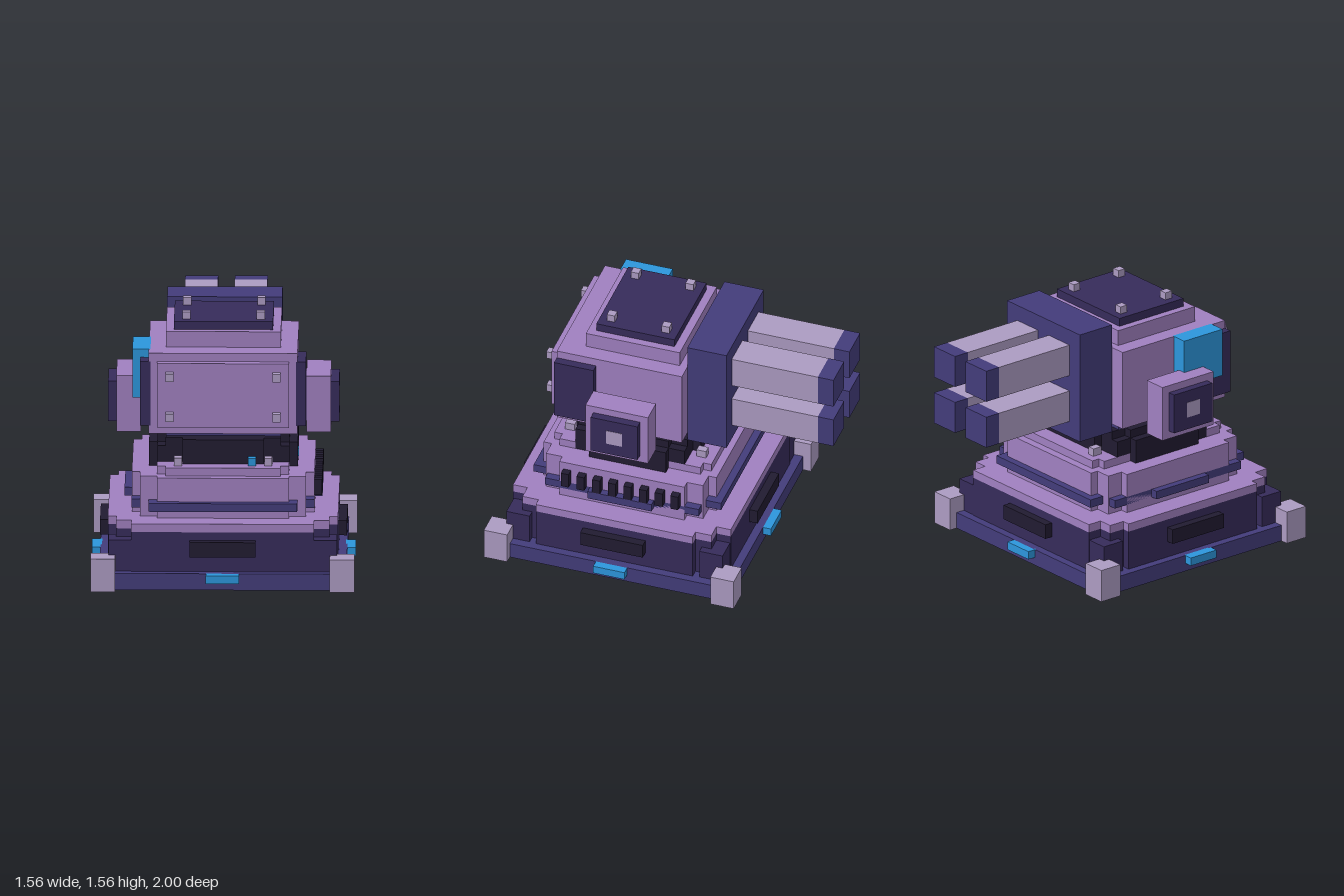
import * as THREE from 'three';

const mat = (color) => new THREE.MeshStandardMaterial({ color, flatShading: true });
const LILAC = mat(0xa080c0), PLUM = mat(0x362b5a), INDIGO = mat(0x433c7a);
const BLACK = mat(0x211b31), GREY = mat(0xac9bc2), BLUE = mat(0x2c96dc);

export function createModel() {
  const model = new THREE.Group();
  // Base and head are symmetric about the turret axis, which sits forward of the centre
  const turret = new THREE.Group();
  turret.name = 'turret';
  turret.position.z = 0.22;
  model.add(turret);

  // Box given by its limits along each axis
  const box = (name, m, [x0, x1], [y0, y1], [z0, z1]) => {
    const mesh = new THREE.Mesh(new THREE.BoxGeometry(Math.abs(x1 - x0), y1 - y0, Math.abs(z1 - z0)), m);
    mesh.position.set((x0 + x1) / 2, (y0 + y1) / 2, (z0 + z1) / 2);
    mesh.name = name;
    turret.add(mesh);
  };
  const sym = (v) => [-v, v];

  // Slab with stair-stepped corners; steps are [halfX, halfZ], widest X first
  const stepped = (name, m, y0, y1, steps) => {
    const q = [];
    steps.forEach(([x, z], i) => {
      if (i) q.push([x, steps[i - 1][1]]);
      q.push([x, z]);
    });
    const r = [...q].reverse();
    const outline = [
      ...q,
      ...r.map(([x, z]) => [-x, z]),
      ...q.map(([x, z]) => [-x, -z]),
      ...r.map(([x, z]) => [x, -z]),
    ].map(([x, z]) => new THREE.Vector2(x, z));
    const geo = new THREE.ExtrudeGeometry(new THREE.Shape(outline), { depth: y1 - y0, bevelEnabled: false });
    geo.rotateX(-Math.PI / 2);
    const mesh = new THREE.Mesh(geo, m);
    mesh.position.y = y0;
    mesh.name = name;
    turret.add(mesh);
  };

  // Base
  const plan = [[0.68, 0.49], [0.63, 0.59], [0.54, 0.68]];
  box('baseSlab', INDIGO, sym(0.73), [0, 0.1], sym(0.73));
  stepped('baseBody', PLUM, 0.1, 0.34, plan);
  stepped('baseRim', LILAC, 0.34, 0.39, plan);
  for (const sx of [-1, 1]) for (const sz of [-1, 1]) {
    box('cornerPost', GREY, [sx * 0.634, sx * 0.78], [0, 0.2], [sz * 0.634, sz * 0.78]);
    box('cornerFiller', PLUM, [sx * 0.53, sx * 0.675], [0.1, 0.29], [sz * 0.53, sz * 0.675]);
  }
  for (const s of [-1, 1]) {
    box('baseLight', BLUE, sym(0.098), [0.05, 0.1], [s * 0.72, s * 0.78]);
    box('baseLight', BLUE, [s * 0.72, s * 0.78], [0.05, 0.1], sym(0.098));
    box('basePanel', BLACK, sym(0.195), [0.2, 0.29], [s * 0.66, s * 0.73]);
    box('basePanel', BLACK, [s * 0.66, s * 0.73], [0.2, 0.29], sym(0.195));
  }

  // Middle tier with its trim band and cooling slots
  stepped('middleTier', LILAC, 0.39, 0.634, [[0.54, 0.39], [0.49, 0.49], [0.39, 0.54]]);
  stepped('trimBand', INDIGO, 0.44, 0.49, [[0.585, 0.2], [0.54, 0.48], [0.44, 0.585]]);
  for (let i = 0; i < 8; i++) {
    const z = (i - 3.5) * 0.0976;
    box('coolingSlot', BLACK, [0.52, 0.585], [0.49, 0.585], [z - 0.024, z + 0.024]);
  }
  stepped('upperTier', LILAC, 0.634, 0.683, [[0.39, 0.44], [0.34, 0.49]]);

  // Rotating ring and neck
  stepped('ringLower', BLACK, 0.634, 0.78, [[0.44, 0.24], [0.39, 0.34], [0.24, 0.39]]);
  stepped('ringUpper', BLACK, 0.78, 0.83, [[0.39, 0.24], [0.34, 0.34], [0.24, 0.39]]);
  box('neck', INDIGO, sym(0.34), [0.83, 0.88], sym(0.29));
  for (const s of [-1, 1]) for (const sz of [-1, 1])
    box('ringBolt', GREY, [s * 0.244, s * 0.29], [0.683, 0.73], [sz * 0.38, sz * 0.44]);
  box('ringLight', BLUE, [0.146, 0.195], [0.683, 0.73], [0.38, 0.44]);
  box('ringLight', BLUE, [0.39, 0.445], [0.683, 0.73], [0.146, 0.195]);

  // Head
  box('head', LILAC, sym(0.44), [0.88, 1.37], [-0.34, 0.44]);
  box('facePlate', LILAC, sym(0.39), [0.93, 1.32], [0.43, 0.49]);
  box('headCap', LILAC, sym(0.34), [1.37, 1.465], sym(0.293));
  box('roofHatch', PLUM, sym(0.293), [1.465, 1.515], sym(0.244));
  for (const sx of [-1, 1]) for (const s of [-1, 1]) {
    box('roofBolt', GREY, [sx * 0.195, sx * 0.244], [1.515, 1.56], [s * 0.146, s * 0.195]);
    const y = 1.122 + s * 0.122;
    box('faceBolt', GREY, [sx * 0.293, sx * 0.34], [y - 0.024, y + 0.024], [0.48, 0.54]);
  }

  // Side armour and pivot pods
  for (const s of [-1, 1]) {
    box('sideArmour', PLUM, [s * 0.43, s * 0.49], [0.93, 1.32], [0.195, 0.441]);
    box('pivotPod', LILAC, [s * 0.489, s * 0.634], [0.83, 1.17], sym(0.195));
    box('pivotCap', PLUM, [s * 0.62, s * 0.683], [0.88, 1.125], sym(0.146));
    box('pivotAxle', GREY, [s * 0.43, s * 0.685], [0.955, 1.05], sym(0.049));
  }
  box('sensor', BLUE, [-0.537, -0.43], [1.075, 1.371], [0.05, 0.342]);

  // Gun mount with four barrels at the rear
  box('gunMount', INDIGO, sym(0.34), [0.83, 1.515], [-0.585, -0.34]);
  for (const s of [-1, 1]) for (const y of [0.93, 1.224]) {
    box('barrel', GREY, [s * 0.049, s * 0.244], [y, y + 0.195], [-1.122, -0.58]);
    box('muzzle', INDIGO, [s * 0.049, s * 0.244], [y, y + 0.195], [-1.22, -1.122]);
  }
  return model;
}
